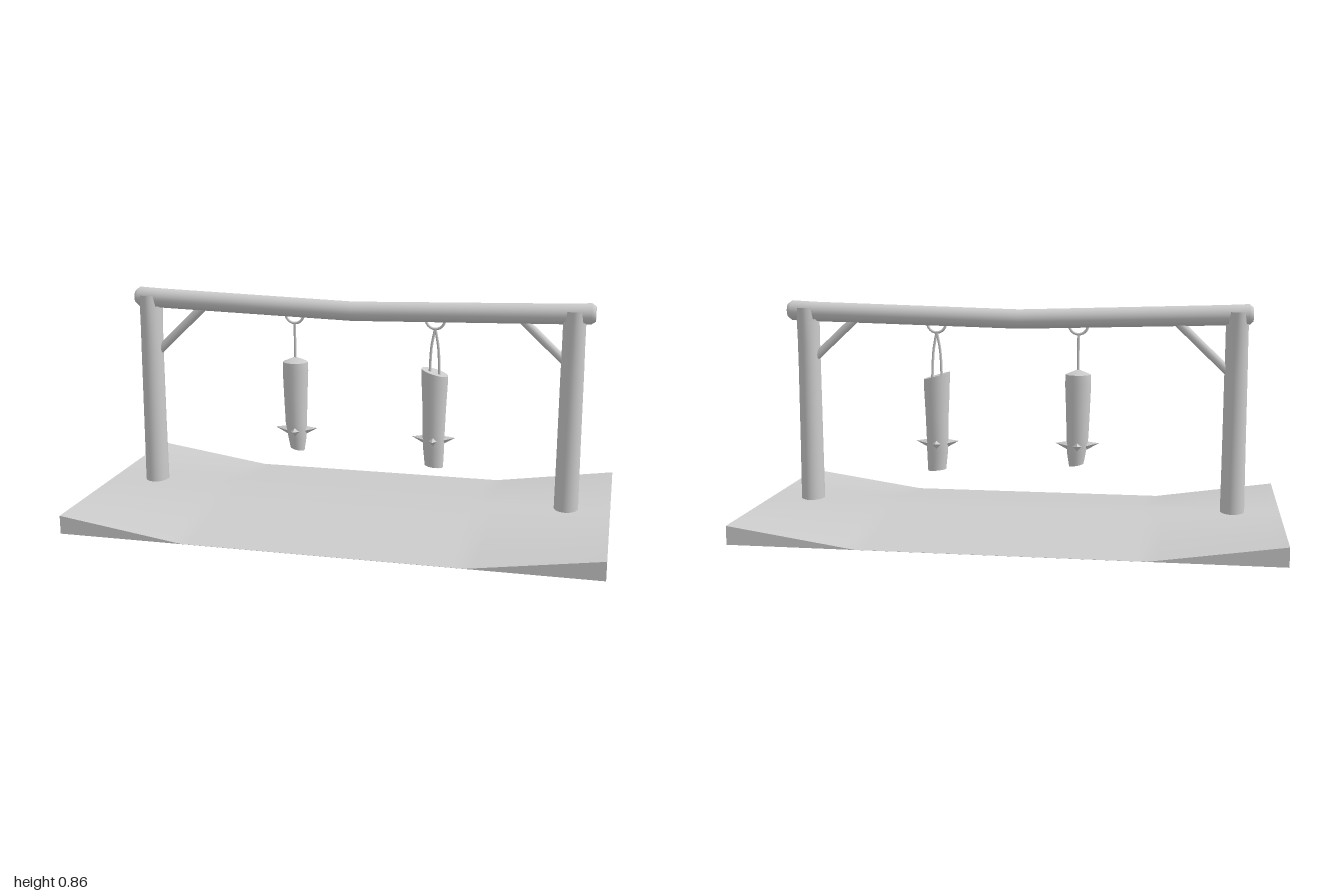
import * as THREE from 'three';

const material = new THREE.MeshStandardMaterial({ color: 0xcccccc, side: THREE.DoubleSide });
const BEAM_Z = -0.017;

function add(parent, name, geometry) {
  const mesh = new THREE.Mesh(geometry, material);
  mesh.name = name;
  parent.add(mesh);
  return mesh;
}

// Closed loft upward through rings [x, y, z, radiusX, radiusZ, slopeX];
// capOffset raises the centre of each end cap, rimDrop lowers parts of the top rim.
function loft(rings, { sides = 20, bottomOffset = 0, topOffset = 0, rimDrop = null } = {}) {
  const pos = [], index = [];
  rings.forEach(([x, y, z, rx, rz, slope = 0], i) => {
    for (let j = 0; j < sides; j++) {
      const a = (j / sides) * Math.PI * 2;
      const dx = Math.cos(a) * rx, pz = z + Math.sin(a) * rz;
      const drop = rimDrop && i === rings.length - 1 ? rimDrop(pz) : 0;
      pos.push(x + dx, y + dx * slope - drop, pz);
    }
  });
  for (let i = 0; i < rings.length - 1; i++) {
    for (let j = 0; j < sides; j++) {
      const a = i * sides + j, b = i * sides + (j + 1) % sides;
      index.push(a, a + sides, b, b, a + sides, b + sides);
    }
  }
  // End caps get their own vertices so the rims stay sharp
  for (const top of [false, true]) {
    const ring = top ? rings.length - 1 : 0;
    const start = pos.length / 3;
    pos.push(...pos.slice(ring * sides * 3, (ring + 1) * sides * 3));
    const [x, y, z] = rings[ring];
    pos.push(x, y + (top ? topOffset : bottomOffset), z);
    for (let j = 0; j < sides; j++) {
      const a = start + j, b = start + (j + 1) % sides, c = start + sides;
      index.push(c, ...(top ? [b, a] : [a, b]));
    }
  }
  const g = new THREE.BufferGeometry();
  g.setAttribute('position', new THREE.Float32BufferAttribute(pos, 3));
  g.setIndex(index);
  g.computeVertexNormals();
  return g;
}

function rod(from, to, radius, sides = 10) {
  const a = new THREE.Vector3(...from), b = new THREE.Vector3(...to);
  return new THREE.TubeGeometry(new THREE.LineCurve3(a, b), 1, radius, sides);
}

// Slab whose top falls away to the middle of the front and back edges
function groundGeometry() {
  const g = new THREE.BoxGeometry(2, 0.07, 1.02, 50, 1, 8);
  g.translate(0, 0.035, 0);
  const p = g.attributes.position;
  for (let i = 0; i < p.count; i++) {
    if (p.getY(i) < 0.01) continue;
    const end = Math.max(0, (Math.abs(p.getX(i)) - 0.52) / 0.48);
    p.setY(i, 0.07 * (1 - (1 - end) * Math.abs(p.getZ(i)) / 0.51) + 0.0005);
  }
  g.computeVertexNormals();
  return g;
}

// Post that widens toward a notched top, where the beam lies
function postGeometry(x, z, lean) {
  return loft([
    [x, 0.03, z, 0.046, 0.05],
    [x, 0.3, z, 0.044, 0.049],
    [x, 0.6, z + lean * 0.2, 0.043, 0.047],
    [x, 0.7, z + lean * 0.5, 0.042, 0.052],
    [x, 0.78, z + lean * 0.8, 0.042, 0.059],
    [x, 0.832, z + lean, 0.042, 0.063],
  ], { sides: 28, topOffset: -0.05, rimDrop: (pz) => Math.abs(pz - BEAM_Z) < 0.044 ? 0.045 : 0 });
}

// Hanging sack-like body with four spikes around its lower part
function hangingBody(name, rings, options, spikeY, spikeX) {
  const group = new THREE.Group();
  group.name = name;
  add(group, 'body', loft(rings, options));
  for (let k = 0; k < 4; k++) {
    const spike = new THREE.ConeGeometry(0.019, 0.055, 4);
    spike.rotateZ(-Math.PI / 2 + 0.18);
    spike.translate(0.056, 0, 0);
    spike.rotateY(k * Math.PI / 2 + 0.08);
    spike.translate(spikeX, spikeY, -0.02);
    const mesh = add(group, 'spike', spike.toNonIndexed());
    mesh.geometry.computeVertexNormals();
  }
  return group;
}

export function createModel() {
  const model = new THREE.Group();
  model.name = 'hangingFrame';

  add(model, 'ground', groundGeometry());

  // Posts
  add(model, 'rightPost', postGeometry(-0.822, -0.012, -0.008));
  add(model, 'leftPost', postGeometry(0.835, -0.009, -0.007));

  // Sagging beam, lofted upright and laid along x
  const beam = loft([
    [-0.82, -0.88, BEAM_Z, 0.026, 0.028],
    [-0.82, -0.865, BEAM_Z, 0.039, 0.039],
    [-0.817, -0.78, BEAM_Z, 0.038, 0.038],
    [-0.794, 0, BEAM_Z, 0.037, 0.037],
    [-0.815, 0.8, BEAM_Z, 0.038, 0.038],
    [-0.819, 0.895, BEAM_Z, 0.039, 0.039],
    [-0.819, 0.911, BEAM_Z, 0.028, 0.028],
  ], { sides: 28 });
  beam.rotateZ(-Math.PI / 2);
  add(model, 'beam', beam);

  // Diagonal braces
  add(model, 'rightBrace', rod([-0.81, 0.59, BEAM_Z], [-0.58, 0.81, BEAM_Z], 0.017));
  add(model, 'leftBrace', rod([0.83, 0.615, BEAM_Z], [0.62, 0.81, BEAM_Z], 0.016));

  // Loops under the beam
  for (const x of [-0.23, 0.32]) {
    const loop = new THREE.TorusGeometry(0.036, 0.005, 8, 20, Math.PI);
    loop.rotateZ(Math.PI);
    loop.translate(x, 0.775, BEAM_Z);
    add(model, 'hangingLoop', loop);
  }

  // Ropes: one single, one split in two
  add(model, 'rope', rod([-0.23, 0.59, -0.02], [-0.23, 0.742, BEAM_Z], 0.005, 8));
  for (const side of [-1, 1]) {
    const curve = new THREE.CatmullRomCurve3([
      new THREE.Vector3(0.32, 0.742, BEAM_Z),
      new THREE.Vector3(0.32 + side * 0.013, 0.67, BEAM_Z),
      new THREE.Vector3(0.32 + side * 0.019, 0.555, -0.02),
    ]);
    add(model, 'rope', new THREE.TubeGeometry(curve, 10, 0.005, 8));
  }

  // Bodies
  const z = -0.02;
  model.add(hangingBody('rightBody', [
    [-0.225, 0.234, z, 0.028, 0.026, -0.2],
    [-0.225, 0.28, z, 0.036, 0.034],
    [-0.229, 0.34, z, 0.042, 0.042],
    [-0.23, 0.45, z, 0.046, 0.045],
    [-0.23, 0.55, z, 0.05, 0.048],
    [-0.23, 0.586, z, 0.048, 0.047],
  ], { topOffset: 0.02 }, 0.315, -0.228));
  model.add(hangingBody('leftBody', [
    [0.323, 0.2, z, 0.036, 0.03, -0.1],
    [0.321, 0.27, z, 0.041, 0.036],
    [0.32, 0.33, z, 0.043, 0.041],
    [0.321, 0.42, z, 0.045, 0.045],
    [0.321, 0.52, z, 0.05, 0.049],
    [0.321, 0.572, z, 0.051, 0.049, -0.28],
  ], { topOffset: -0.005 }, 0.31, 0.32));

  return model;
}
